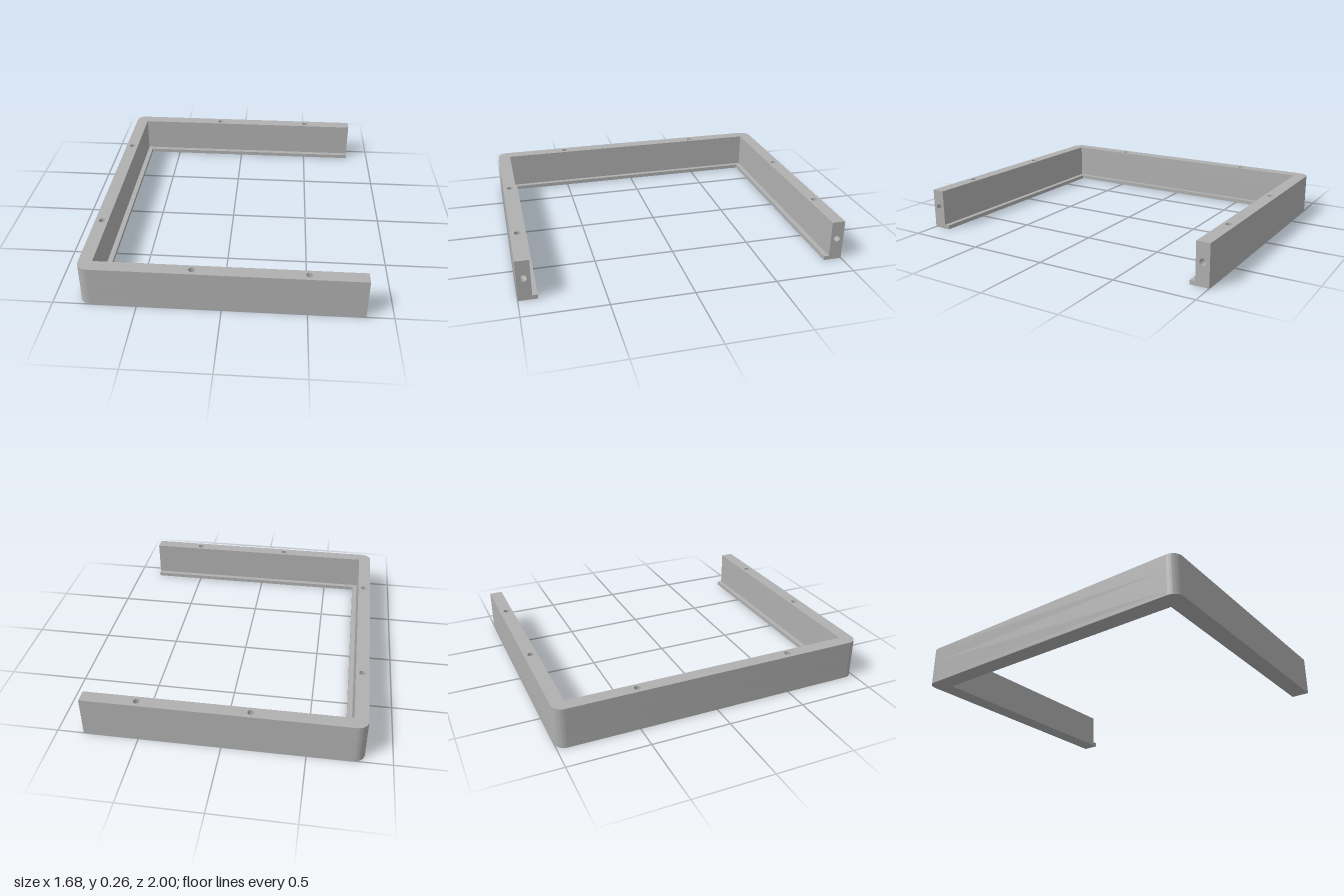
import * as THREE from 'three';
import { toCreasedNormals } from 'three/addons/utils/BufferGeometryUtils.js';

const X = 0.838, Z = 1, H = 0.256;        // half width, half depth, height
const WALL = 0.083, LIP = 0.115;          // wall thickness, wall plus ledge
const LEDGE_H = 0.026, CORNER = 0.065;
const HOLE_R = 0.02, HOLE_DEPTH = 0.1;

// U outline in plan, open toward +x, with rounded outer corners
function uShape(thickness, endX) {
  const s = new THREE.Shape();
  s.moveTo(endX, -Z);
  s.lineTo(endX, -Z + thickness);
  s.lineTo(-X + thickness, -Z + thickness);
  s.lineTo(-X + thickness, Z - thickness);
  s.lineTo(endX, Z - thickness);
  s.lineTo(endX, Z);
  s.lineTo(-X + CORNER, Z);
  s.absarc(-X + CORNER, Z - CORNER, CORNER, Math.PI / 2, Math.PI, false);
  s.lineTo(-X, -Z + CORNER);
  s.absarc(-X + CORNER, -Z + CORNER, CORNER, Math.PI, Math.PI * 1.5, false);
  s.closePath();
  return s;
}

function addHole(shape, x, y) {
  const p = new THREE.Path();
  p.absarc(x, y, HOLE_R, 0, Math.PI * 2, true);
  shape.holes.push(p);
}

function extrude(shape, depth) {
  return new THREE.ExtrudeGeometry(shape, { depth, bevelEnabled: false, curveSegments: 12 });
}

export function createModel() {
  const group = new THREE.Group();
  group.name = 'frame';
  const grey = new THREE.MeshStandardMaterial({ color: 0xb0b0b0 });
  grey.name = 'grey';

  const add = (name, geometry) => {
    const mesh = new THREE.Mesh(toCreasedNormals(geometry, 0.6), grey);
    mesh.name = name;
    group.add(mesh);
  };
  // Plan shape extruded between two heights
  const slab = (name, shape, bottom, top) =>
    add(name, extrude(shape, top - bottom).rotateX(Math.PI / 2).translate(0, top, 0));

  // Ledge running along the inside of the bottom edge
  slab('ledge', uShape(LIP, X), 0, LEDGE_H);

  // Walls, stopping short of the drilled end blocks
  const wallEnd = X - HOLE_DEPTH;
  slab('lowerWall', uShape(WALL, wallEnd), LEDGE_H, H - HOLE_DEPTH);

  // Upper wall with blind screw holes in its top edge
  const upper = uShape(WALL, wallEnd);
  for (const side of [-1, 1]) {
    for (const x of [-0.17, 0.5]) addHole(upper, x, side * 0.957);
    addHole(upper, -0.795, side * 0.5);
  }
  slab('upperWall', upper, H - HOLE_DEPTH, H);

  // Arm ends with a blind hole facing +x
  for (const side of [-1, 1]) {
    const w = WALL / 2;
    const s = new THREE.Shape([
      new THREE.Vector2(-w, LEDGE_H), new THREE.Vector2(w, LEDGE_H),
      new THREE.Vector2(w, H), new THREE.Vector2(-w, H),
    ]);
    addHole(s, 0, 0.142);
    add(side > 0 ? 'frontArmEnd' : 'backArmEnd',
      extrude(s, HOLE_DEPTH).rotateY(Math.PI / 2).translate(wallEnd, 0, side * (Z - w)));
  }
  return group;
}
